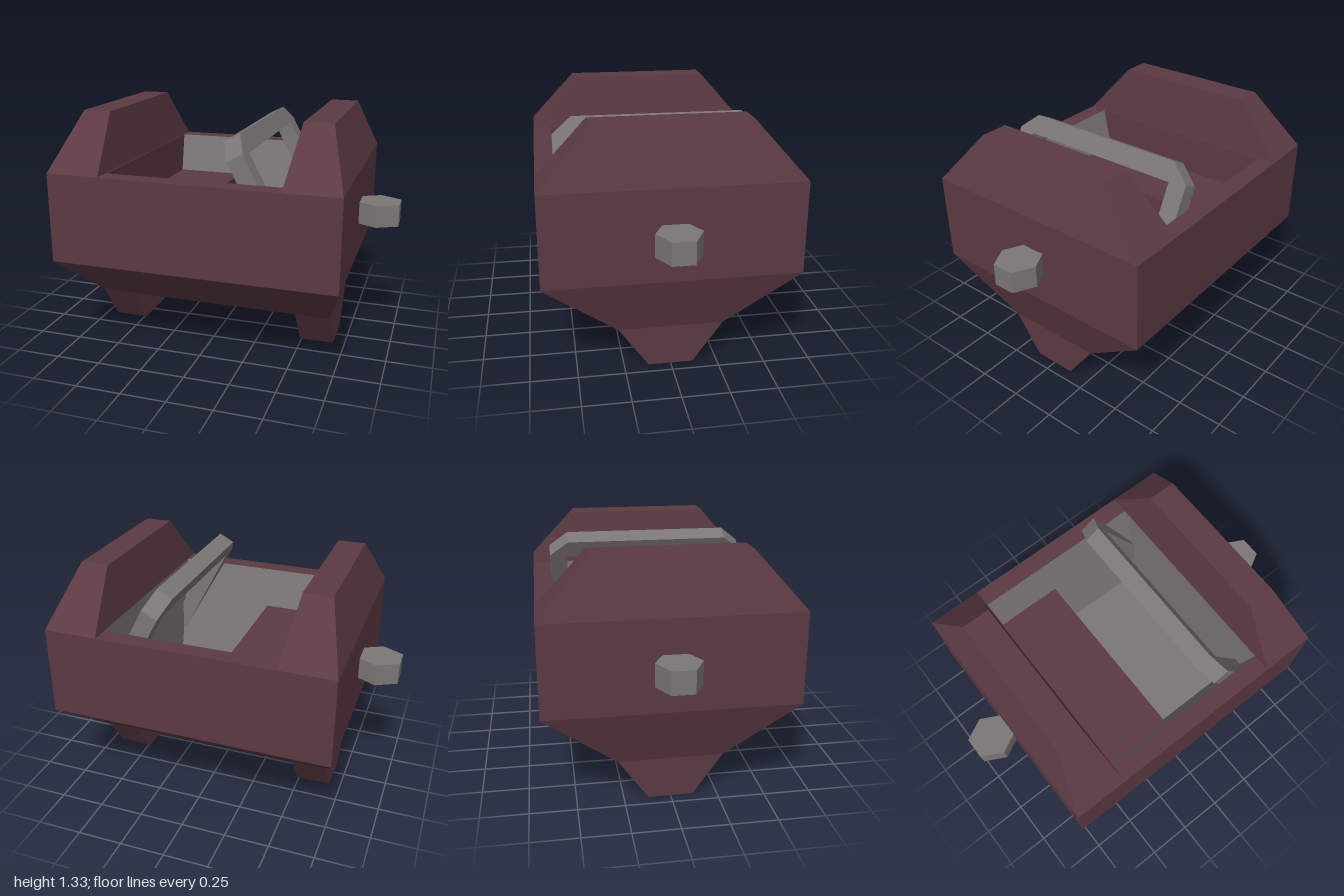
import * as THREE from 'three';

const red = new THREE.MeshStandardMaterial({ color: 0x5c3a42 });
const grey = new THREE.MeshStandardMaterial({ color: 0x7b7775 });

// Flat-faced loft through rectangular sections [y, x0, x1, halfDepth]
function loft(sections, capStart = true, capEnd = true) {
  const rings = sections.map(([y, x0, x1, z]) => [[x0, y, z], [x1, y, z], [x1, y, -z], [x0, y, -z]]);
  const pos = [];
  const quad = (a, b, c, d) => pos.push(...a, ...b, ...c, ...a, ...c, ...d);
  for (let k = 0; k + 1 < rings.length; k++) {
    for (let i = 0; i < 4; i++) {
      const j = (i + 1) % 4;
      quad(rings[k][i], rings[k][j], rings[k + 1][j], rings[k + 1][i]);
    }
  }
  if (capStart) quad(...[...rings[0]].reverse());
  if (capEnd) quad(...rings[rings.length - 1]);
  const geo = new THREE.BufferGeometry();
  geo.setAttribute('position', new THREE.Float32BufferAttribute(pos, 3));
  geo.computeVertexNormals();
  return geo;
}

export function createModel() {
  const group = new THREE.Group();
  const add = (name, geo, mat) => {
    const mesh = new THREE.Mesh(geo, mat);
    mesh.name = name;
    group.add(mesh);
    return mesh;
  };
  const inner = 0.487;

  // Hull with tapered underside and a flat rim around the opening
  add('body', loft([
    [0.225, -0.685, 0.685, 0.28],
    [0.535, -0.785, 0.785, 0.67],
    [1.03, -0.785, 0.785, 0.67],
    [1.03, -inner, inner, 0.57],
  ], true, false), red);

  // Cavity lining: sloping end walls and floor
  add('cavity', loft([
    [1.03, -inner, inner, 0.57],
    [0.45, -inner, inner, 0.44],
  ], false, true), grey);

  // Closed panel over the right half, with the side wall above it
  add('closedPanel', loft([[0.7, -inner, -0.08, 0.497], [0.8, -inner, -0.08, 0.52]]), red);
  add('panelSideWall', loft([[0.8, -inner, -0.48, 0.52], [1.03, -inner, -0.482, 0.57]]), red);

  // Paired cheeks, feet and side pins
  for (const s of [-1, 1]) {
    const side = s > 0 ? 'left' : 'right';
    const span = (a, b) => (s > 0 ? [a, b] : [-b, -a]);
    add(side + 'Cheek', loft([
      [1.03, ...span(inner, 0.785), 0.67],
      [1.33, ...span(0.53, 0.685), 0.405],
    ]), red);
    add(side + 'Foot', loft([
      [0, ...span(0.49, 0.685), 0.12],
      [0.225, ...span(0.49, 0.685), 0.28],
    ]), red);
    const pinGeo = new THREE.CylinderGeometry(0.118, 0.118, 0.122, 6).toNonIndexed();
    pinGeo.computeVertexNormals();
    const pin = add(side + 'Pin', pinGeo, grey);
    pin.scale.x = 1.125;
    pin.position.set(s * 0.885, 0.783, 0);
  }

  // Open hatch frame leaning out of the cavity, chamfered at its top corners
  const frame = new THREE.Shape([
    [-0.57, -0.75], [-0.47, -0.75], [-0.47, -0.107], [0.47, -0.107], [0.47, -0.75],
    [0.57, -0.75], [0.57, -0.094], [0.465, 0], [-0.465, 0], [-0.57, -0.094],
  ].map(([x, y]) => new THREE.Vector2(x, y)));
  const frameGeo = new THREE.ExtrudeGeometry(frame, { depth: 0.096, bevelEnabled: false });
  frameGeo.applyMatrix4(new THREE.Matrix4().makeBasis(
    new THREE.Vector3(0, 0, -1),
    new THREE.Vector3(-0.466, 0.885, 0),
    new THREE.Vector3(0.885, 0.466, 0),
  ).setPosition(0.135, 1.22, 0));
  add('hatchFrame', frameGeo, grey);

  return group;
}
